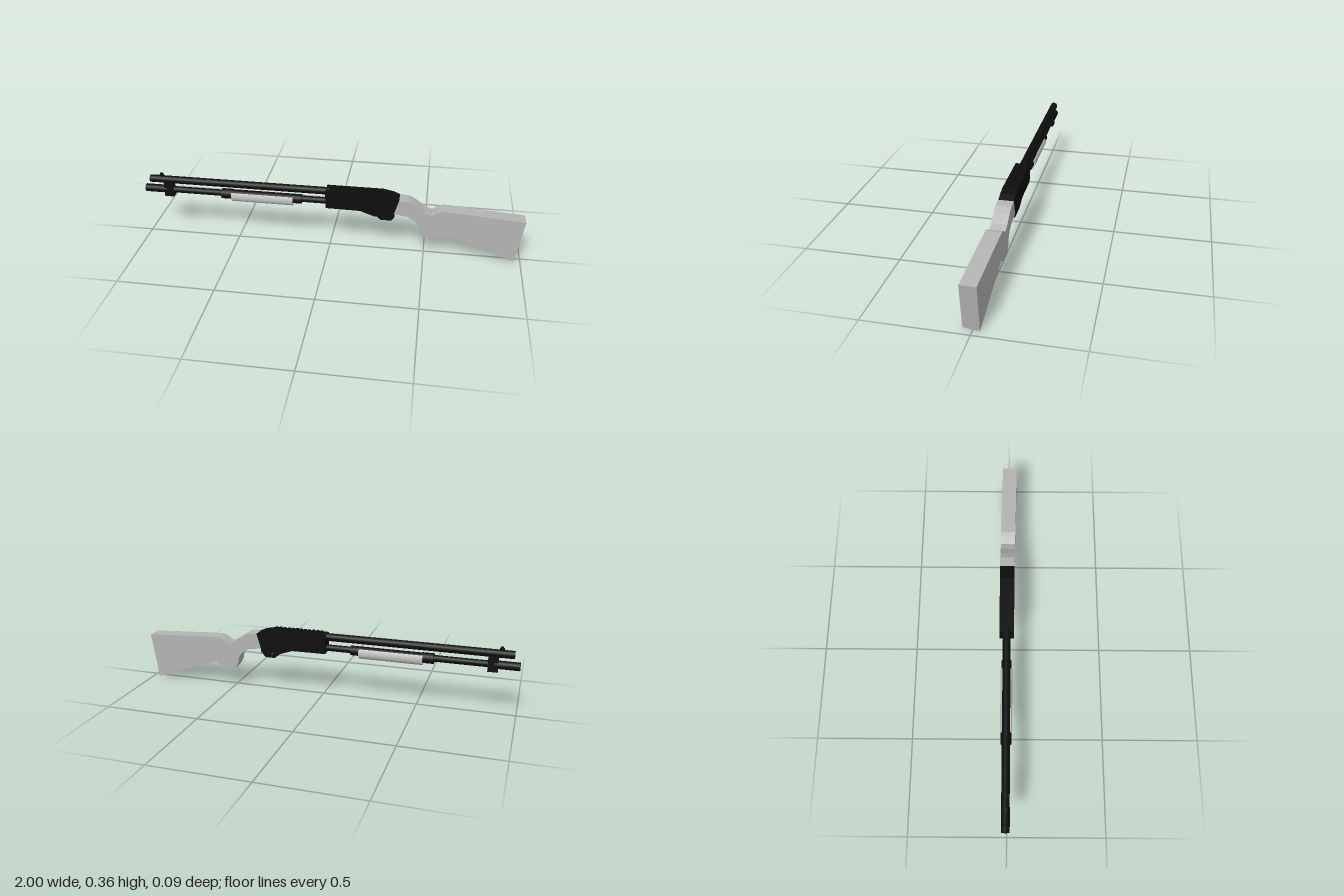
import * as THREE from 'three';

const black = new THREE.MeshStandardMaterial({ color: 0x0e0e0e });
black.name = 'black metal';
const grey = new THREE.MeshStandardMaterial({ color: 0xb4b4b4 });
grey.name = 'stock grey';
const pale = new THREE.MeshStandardMaterial({ color: 0xc8c8c8 });
pale.name = 'fore-end grey';

const ZC = -0.006; // the metal sits slightly off the centre line

export function createModel() {
  const group = new THREE.Group();

  const add = (name, geo, mat, x = 0, y = 0, z = ZC) => {
    const m = new THREE.Mesh(geo, mat);
    m.name = name;
    m.position.set(x, y, z);
    group.add(m);
    return m;
  };
  const box = (name, x0, x1, y0, y1, w, mat = black) =>
    add(name, new THREE.BoxGeometry(x1 - x0, y1 - y0, w), mat, (x0 + x1) / 2, (y0 + y1) / 2);
  // cylinder lying along x
  const rod = (name, x0, x1, y, r, mat = black) =>
    add(name, new THREE.CylinderGeometry(r, r, x1 - x0, 20).rotateZ(Math.PI / 2), mat, (x0 + x1) / 2, y);
  const toShape = (pts) => new THREE.Shape(pts.map(([x, y]) => new THREE.Vector2(x, y)));
  // side outline extruded to a width centred on z = 0
  const slab = (shape, w) =>
    new THREE.ExtrudeGeometry(shape, { depth: w, bevelEnabled: false, curveSegments: 10 }).translate(0, 0, -w / 2);

  // barrel and magazine tube
  rod('barrel', -0.97, 0, 0.322, 0.02);
  rod('magazineTube', -0.99, 0, 0.264, 0.017);
  rod('magazineCap', -1, -0.88, 0.264, 0.021);
  box('barrelClamp', -0.895, -0.845, 0.228, 0.325, 0.034);
  rod('slideCollar', -0.58, -0.52, 0.262, 0.027);
  rod('slideTube', -0.53, -0.15, 0.262, 0.025);

  // front sight
  box('sightBase', -0.918, -0.896, 0.335, 0.35, 0.013);
  box('sightBead', -0.914, -0.9, 0.348, 0.358, 0.007);

  // fore-end: a U-shaped shell around the slide tube
  const shell = new THREE.Shape();
  const a0 = Math.PI * 0.8, a1 = Math.PI * 2.2;
  shell.absellipse(0, 0, 0.03, 0.036, a0, a1, false);
  shell.absellipse(0, 0, 0.024, 0.03, a1, a0, true);
  shell.closePath();
  const foreEnd = new THREE.ExtrudeGeometry(shell, { depth: 0.33, bevelEnabled: false, curveSegments: 20 });
  foreEnd.rotateY(Math.PI / 2);
  add('foreEnd', foreEnd, pale, -0.525, 0.259);

  // receiver
  const receiver = toShape([
    [-0.02, 0.24], [0.16, 0.238], [0.235, 0.212], [0.335, 0.212], [0.337, 0.235], [0.36, 0.314],
    [0.325, 0.328], [0.275, 0.338], [-0.02, 0.338],
  ]);
  add('receiver', slab(receiver, 0.075), black);

  // ridged strip along the top
  for (let i = 0; i < 12; i++) {
    const x = 0.002 + i * 0.0225;
    box('topRidge', x, x + 0.013, 0.336, 0.353, 0.012);
  }

  // trigger guard and trigger
  const guard = toShape([
    [0.22, 0.22], [0.25, 0.195], [0.268, 0.18], [0.322, 0.18], [0.338, 0.2], [0.342, 0.235], [0.23, 0.235],
  ]);
  guard.holes.push(toShape([[0.262, 0.21], [0.275, 0.191], [0.316, 0.191], [0.328, 0.205], [0.328, 0.214], [0.262, 0.214]]));
  add('triggerGuard', slab(guard, 0.028), black);
  const trigger = toShape([[0.285, 0.215], [0.298, 0.215], [0.297, 0.2], [0.304, 0.192], [0.296, 0.193], [0.288, 0.202]]);
  add('trigger', slab(trigger, 0.012), black);

  // stock, slightly twisted so its near lower edge is raised
  const stock = slab(toShape([
    [0.36, 0.314], [0.41, 0.31], [0.447, 0.289], [0.49, 0.257], [0.527, 0.241], [0.56, 0.262],
    [0.585, 0.272], [0.677, 0.268], [1, 0.247], [0.965, 0.007], [0.602, 0.135], [0.575, 0.115],
    [0.543, 0.107], [0.49, 0.107], [0.473, 0.14], [0.468, 0.17], [0.447, 0.2], [0.404, 0.225], [0.337, 0.235],
  ]), 0.077);
  const p = stock.attributes.position;
  for (let i = 0; i < p.count; i++) {
    const x = p.getX(i), y = p.getY(i), z = p.getZ(i);
    const low = THREE.MathUtils.clamp((0.25 - y) / 0.24, 0, 1);
    p.setY(i, y + z * 0.13 * low);
    p.setZ(i, z + THREE.MathUtils.lerp(-0.006, 0.004, (x - 0.36) / 0.64) + 0.002 * low);
  }
  stock.computeVertexNormals();
  add('stock', stock, grey, 0, 0, 0);

  return group;
}
